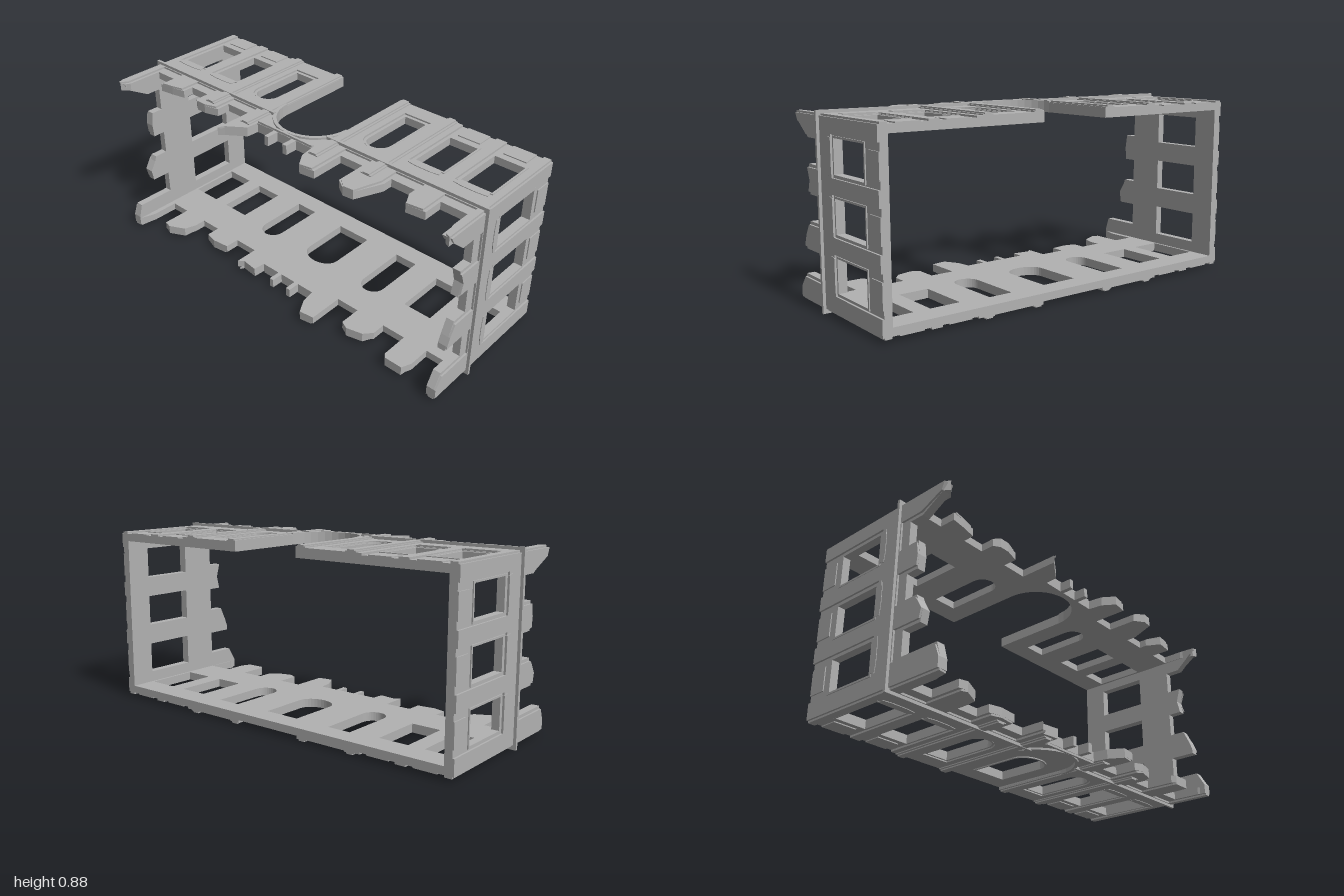
import * as THREE from 'three';

const BACK = -0.39;
const stone = new THREE.MeshStandardMaterial({ color: 0xb2b2b2 });
stone.name = 'grey stone';

// Outlines as [u, z] points, u running along the wall
const rect = (u0, u1, z0, z1) => [[u0, z0], [u1, z0], [u1, z1], [u0, z1]];
function arc(u, z, r, rz = r, n = 16) {
  const pts = [];
  for (let i = 0; i <= n; i++) {
    const a = Math.PI * i / n;
    pts.push([u + r * Math.cos(a), z + rz * Math.sin(a)]);
  }
  return pts;
}
const arch = (u, hw, z0, z1, rise = hw) => [[u - hw, z0], [u + hw, z0], ...arc(u, z1 - rise, hw, rise)];

// One wall: outward axis n, along axis u, outer plane at distance "out"
function makeWall(name, n, along, out, cfg) {
  const group = new THREE.Group();
  group.name = name;
  const N = new THREE.Vector3(...n), Z = new THREE.Vector3(0, 0, 1);
  const U = new THREE.Vector3().crossVectors(Z, N);
  const s = U.dot(new THREE.Vector3(...along));
  const toVec = pts => pts.map(([u, z]) => new THREE.Vector2(s * u, z));

  // Slab between two depths measured inward from the outer plane
  function slab(part, outline, holes, d0, d1) {
    const shape = new THREE.Shape(toVec(outline));
    holes.forEach(h => shape.holes.push(new THREE.Path(toVec(h))));
    const geo = new THREE.ExtrudeGeometry(shape, { depth: d1 - d0, bevelEnabled: false });
    geo.applyMatrix4(new THREE.Matrix4().makeBasis(U, Z, N).setPosition(N.clone().multiplyScalar(out - d1)));
    const mesh = new THREE.Mesh(geo, stone);
    mesh.name = part;
    group.add(mesh);
  }

  // Broken front edge: piers with notches of the ruined upper windows between
  function frontEdge(inset, floor) {
    const pts = [];
    cfg.piers.forEach((p, i) => {
      const first = i === 0, last = i === cfg.piers.length - 1;
      const a = p[0][0] + (first ? 0 : inset), b = p[p.length - 1][0] - (last ? 0 : inset);
      const tips = p.map(([u, z]) => [Math.min(b, Math.max(a, u)), z]);
      if (!first) pts.push([a, floor]);
      pts.push(...tips);
      if (!last) pts.push([b, floor]);
    });
    return pts;
  }
  const [e0, e1] = cfg.ends;
  const gapPts = cfg.gap ? [[0.18, BACK], ...arc(0, 0.01, 0.18), [-0.18, BACK]] : [];
  slab('wall core', [[e0, BACK], ...frontEdge(0, 0.172), [e1, BACK], ...gapPts],
    cfg.windows.map(w => w.arched ? arch(w.u, w.hw, w.z0, w.z1, w.rise) : rect(w.u - w.hw, w.u + w.hw, w.z0, w.z1)),
    0.023, 0.06);

  // Raised facing, open around each tall window bay
  const bays = [];
  cfg.windows.filter(w => !w.arched).sort((a, b) => b.u - a.u).forEach(w => bays.push({ u: w.u, pts: [
    [w.u + w.hw + 0.015, BACK], [w.u + w.hw + 0.015, 0.008],
    [w.u - w.hw - 0.015, 0.008], [w.u - w.hw - 0.015, BACK]] }));
  if (cfg.ridges) {
    bays.push({ u: 0, pts: [[0.18, BACK], ...arc(0, 0.01, 0.18), [-0.18, BACK]] });
    bays.sort((a, b) => b.u - a.u);
  }
  slab('wall facing', [[e0, BACK], ...frontEdge(0.014, 0.125), [e1, BACK], ...bays.flatMap(b => b.pts)],
    cfg.windows.filter(w => w.arched && w.u !== 0).map(w => arch(w.u, w.hw + 0.014, w.z0 - 0.014, w.z1 + 0.014)),
    0.014, 0.0235);

  cfg.windows.forEach(w => {
    // Slim rim around each opening
    const g = 0.009;
    const hole = w.arched ? arch(w.u, w.hw, w.z0, w.z1, w.rise) : rect(w.u - w.hw, w.u + w.hw, w.z0, w.z1);
    const rim = w.arched ? arch(w.u, w.hw + g, w.z0 - g, w.z1 + g, w.rise + g)
      : rect(w.u - w.hw - g, w.u + w.hw + g, w.z0 - g, w.z1 + g);
    slab('window rim', rim, [hole], 0.018, 0.0235);
    if (w.arched) return;
    // Sill panel below and curved lintel above
    slab('sill panel', rect(w.u - 0.057, w.u + 0.057, BACK, -0.305), [], 0.018, 0.0235);
    const h = w.hw;
    slab('window lintel', [[w.u - h, 0.005], [w.u + h, 0.005], [w.u + h + 0.006, 0.03],
      [w.u + h / 2, 0.036], [w.u - h / 2, 0.036], [w.u - h - 0.006, 0.03]], [], 0.011, 0.0235);
  });

  // Cornice, broken where the gate arch rises through it
  const [c0, c1] = cfg.cornice;
  if (cfg.ridges) {
    slab('cornice', rect(c0, -0.16, 0.107, 0.12), [], 0, 0.03);
    slab('cornice', rect(0.16, c1, 0.107, 0.12), [], 0, 0.03);
    slab('gate arch moulding', [...arc(0, 0.01, 0.197), ...arc(0, 0.01, 0.18).reverse()], [], 0.004, 0.03);
    slab('upper string course', rect(-0.165, 0.165, 0.207, 0.218), [], 0.004, 0.03);
    // Stepped pilasters running the full height
    for (const side of [-1, 1]) for (const [u, tip] of [[0.475, 0.23], [0.208, 0.26]]) {
      slab('pilaster', rect(side * u - 0.027, side * u + 0.027, BACK, tip), [], 0.009, 0.02);
      slab('pilaster strip', rect(side * u - 0.017, side * u + 0.017, BACK, tip), [], 0.003, 0.02);
    }
  } else slab('cornice', rect(c0, c1, 0.107, 0.12), [], 0, 0.03);
  return group;
}

export function createModel() {
  const model = new THREE.Group();
  model.name = 'ruined building shell';

  // Windows of the long walls, mirrored about the centre
  const longWindows = [-1, 1].flatMap(m => [
    { u: m * 0.852, hw: 0.076, z0: -0.27, z1: -0.012 },
    { u: m * 0.62, hw: 0.074, z0: -0.27, z1: -0.012 },
    { u: m * 0.342, hw: 0.06, z0: -0.29, z1: 0.03, arched: true, rise: 0.06 }
  ]);
  const gateWindow = { u: 0, hw: 0.092, z0: -0.285, z1: 0.028, arched: true, rise: 0.07 };

  // Middle pier with two stubs of a broken balustrade
  const middle = (l, r) => [[-0.28, l], [-0.255, l - 0.02], [-0.17, 0.28], [-0.165, 0.22],
    [-0.062, 0.22], [-0.062, 0.28], [-0.04, 0.28], [-0.04, 0.22],
    [0.048, 0.22], [0.048, 0.28], [0.072, 0.28], [0.072, 0.22],
    [0.165, 0.22], [0.175, 0.29], [0.215, r], [0.29, r - 0.01]];

  const longWall = { ends: [-0.977, 0.977], cornice: [-1, 1], ridges: true };
  model.add(makeWall('front long wall', [0, 1, 0], [1, 0, 0], 0.88, {
    ...longWall, gap: true, windows: longWindows,
    piers: [
      [[-0.977, 0.36], [-0.96, 0.385], [-0.925, 0.35]],
      [[-0.81, 0.25], [-0.74, 0.24], [-0.67, 0.225]],
      [[-0.56, 0.24], [-0.53, 0.26], [-0.48, 0.26], [-0.41, 0.24]],
      middle(0.36, 0.35),
      [[0.41, 0.32], [0.46, 0.355], [0.51, 0.35], [0.565, 0.22]],
      [[0.684, 0.21], [0.72, 0.28], [0.81, 0.27]],
      [[0.936, 0.27], [0.955, 0.34], [0.977, 0.35]]
    ]
  }));
  model.add(makeWall('rear long wall', [0, -1, 0], [1, 0, 0], 0, {
    ...longWall, windows: [...longWindows, gateWindow],
    piers: [
      [[-0.977, 0.39], [-0.94, 0.385], [-0.915, 0.31]],
      [[-0.81, 0.32], [-0.77, 0.33], [-0.69, 0.29], [-0.67, 0.23]],
      [[-0.56, 0.24], [-0.5, 0.255], [-0.41, 0.245]],
      middle(0.29, 0.36),
      [[0.41, 0.28], [0.45, 0.3], [0.53, 0.28], [0.565, 0.24]],
      [[0.684, 0.31], [0.7, 0.33], [0.79, 0.33], [0.81, 0.28]],
      [[0.936, 0.31], [0.95, 0.35], [0.977, 0.35]]
    ]
  }));

  // End walls
  const endWall = {
    ends: [0.023, 0.857], cornice: [0.002, 0.88],
    windows: [0.19, 0.445, 0.697].map(u => ({ u, hw: 0.076, z0: -0.268, z1: -0.01 }))
  };
  model.add(makeWall('left end wall', [1, 0, 0], [0, 1, 0], 1, {
    ...endWall, piers: [
      [[0.023, 0.35], [0.07, 0.35], [0.137, 0.31]],
      [[0.253, 0.297], [0.28, 0.295], [0.32, 0.28], [0.385, 0.25]],
      [[0.505, 0.24], [0.57, 0.225], [0.64, 0.245]],
      [[0.755, 0.245], [0.83, 0.33], [0.857, 0.345]]
    ]
  }));
  model.add(makeWall('right end wall', [-1, 0, 0], [0, 1, 0], 1, {
    ...endWall, piers: [
      [[0.023, 0.39], [0.07, 0.39], [0.137, 0.37]],
      [[0.253, 0.27], [0.31, 0.28], [0.36, 0.25], [0.385, 0.24]],
      [[0.505, 0.235], [0.57, 0.24], [0.64, 0.23]],
      [[0.755, 0.245], [0.82, 0.36], [0.857, 0.375]]
    ]
  }));
  return model;
}
